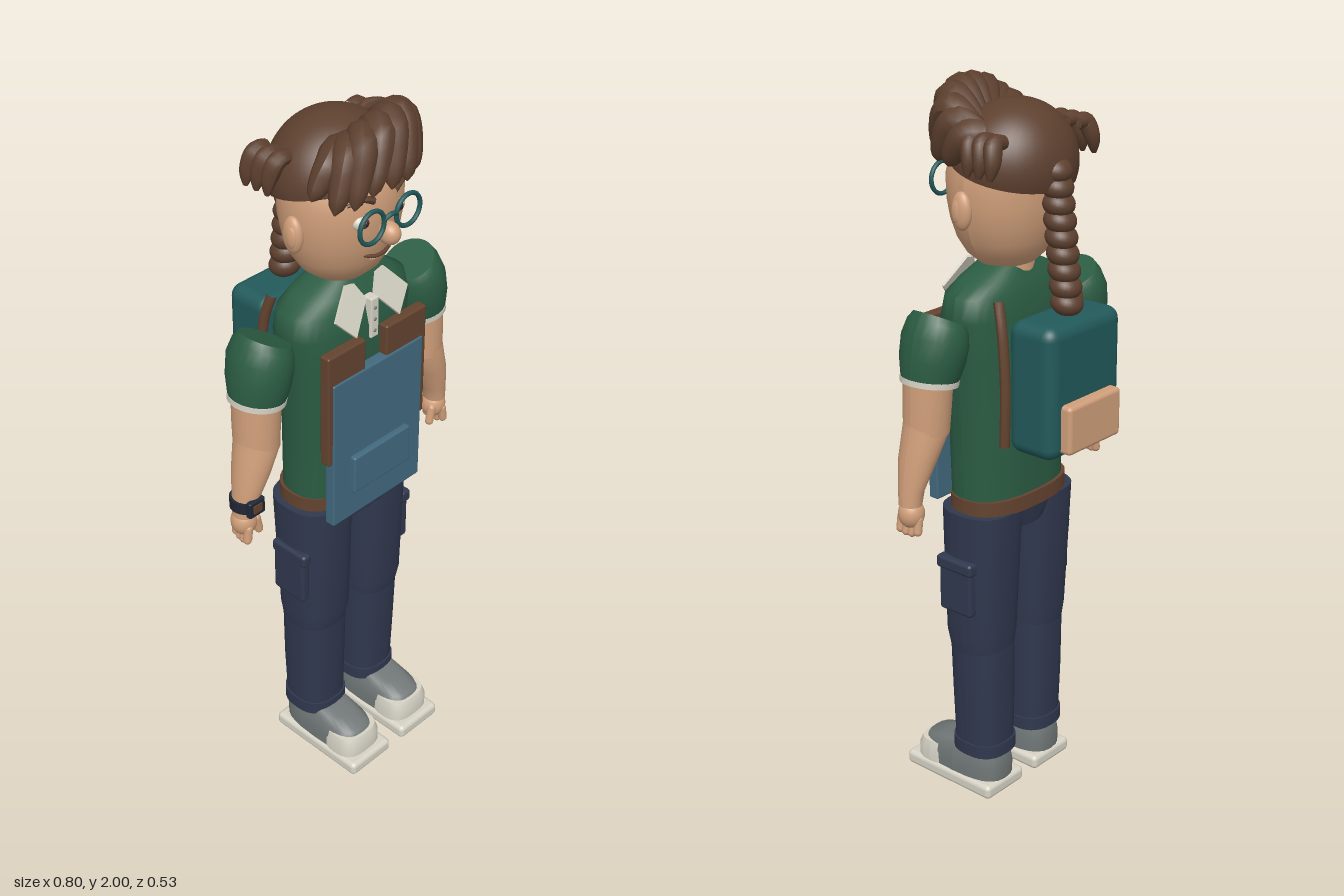
import * as THREE from 'three';
import { RoundedBoxGeometry } from 'three/addons/geometries/RoundedBoxGeometry.js';

const colours = {
  skin: 0xd09f7a, hair: 0x5d402f, shirt: 0x2b5c43, teal: 0x22595a, denimBlue: 0x42697e,
  trousers: 0x30384e, cream: 0xd6d2c5, shoeGrey: 0x707776, leather: 0x64432f, dark: 0x1f2634,
};

export function createModel() {
  const model = new THREE.Group();
  model.name = 'studentFigure';
  const mats = {};
  for (const [name, hex] of Object.entries(colours)) {
    mats[name] = new THREE.MeshStandardMaterial({ color: hex });
    mats[name].name = name;
  }
  mats.cream.side = THREE.DoubleSide;

  const add = (name, geo, mat, pos = [0, 0, 0], rot = [0, 0, 0], scale = [1, 1, 1]) => {
    const m = new THREE.Mesh(geo, mats[mat]);
    m.name = name;
    m.position.set(...pos);
    m.rotation.set(...rot);
    m.scale.set(...scale);
    model.add(m);
    return m;
  };
  const ball = (name, mat, pos, scale, rot) =>
    add(name, new THREE.SphereGeometry(1, 24, 16), mat, pos, rot, scale);
  // Rounded box given by its low and high corners
  const box = (name, mat, lo, hi, r = 0.008) => {
    const d = lo.map((v, i) => hi[i] - v);
    return add(name, new RoundedBoxGeometry(d[0], d[1], d[2], 3, r), mat, lo.map((v, i) => (v + hi[i]) / 2));
  };

  // Closed loft through superellipse rings, bottom to top: [x, y, z, rx, rz, tilt]
  function loft(rings, power = 2, n = 28) {
    const pos = [], idx = [];
    const ring = ([x, y, z, rx, rz, tilt = 0]) => {
      for (let j = 0; j <= n; j++) {
        const a = (j / n) * Math.PI * 2, c = Math.cos(a), s = Math.sin(a);
        const u = Math.sign(c) * Math.abs(c) ** (2 / power) * rx;
        const v = Math.sign(s) * Math.abs(s) ** (2 / power) * rz;
        pos.push(x + u * Math.cos(tilt), y + u * Math.sin(tilt), z + v);
      }
    };
    rings.forEach(ring);
    for (let i = 0; i < rings.length - 1; i++) for (let j = 0; j < n; j++) {
      const a = i * (n + 1) + j, c = a + n + 1;
      idx.push(a, c, a + 1, a + 1, c, c + 1);
    }
    for (const top of [false, true]) {
      const r = top ? rings[rings.length - 1] : rings[0], start = pos.length / 3;
      ring(r);
      pos.push(r[0], r[1], r[2]);
      for (let j = 0; j < n; j++) {
        const a = start + j;
        idx.push(start + n + 1, top ? a + 1 : a, top ? a : a + 1);
      }
    }
    const g = new THREE.BufferGeometry();
    g.setAttribute('position', new THREE.Float32BufferAttribute(pos, 3));
    g.setIndex(idx);
    g.computeVertexNormals();
    return g;
  }

  // Tube along points whose thickness follows taper(t)
  function strand(points, radius, taper = () => 1, seg = 16, sides = 10) {
    const curve = new THREE.CatmullRomCurve3(points.map(p => new THREE.Vector3(...p)));
    const g = new THREE.TubeGeometry(curve, seg, radius, sides), p = g.attributes.position;
    const v = new THREE.Vector3();
    for (let i = 0; i < p.count; i++) {
      const t = Math.floor(i / (sides + 1)) / seg, c = curve.getPointAt(t);
      v.fromBufferAttribute(p, i).sub(c).multiplyScalar(taper(t)).add(c);
      p.setXYZ(i, v.x, v.y, v.z);
    }
    g.computeVertexNormals();
    return g;
  }

  // Torso, belt and hips
  add('shirtBody', loft([
    [0, 0.89, 0.032, 0.176, 0.102], [0, 1.1, 0.035, 0.178, 0.106], [0, 1.3, 0.036, 0.19, 0.109],
    [0, 1.41, 0.036, 0.205, 0.109], [0, 1.47, 0.034, 0.197, 0.096], [0, 1.5, 0.032, 0.15, 0.082],
    [0, 1.535, 0.03, 0.075, 0.062],
  ], 2.5, 36), 'shirt');
  add('belt', loft([[0, 0.87, 0.028, 0.183, 0.108], [0, 0.912, 0.028, 0.183, 0.108]], 2.5, 36), 'leather');
  add('hips', loft([[0, 0.81, 0.03, 0.075, 0.09], [0, 0.872, 0.03, 0.175, 0.1]], 2.6), 'trousers');
  box('fly', 'trousers', [-0.077, 0.812, -0.055], [0.077, 0.872, 0.13]);
  add('neck', new THREE.CylinderGeometry(0.065, 0.07, 0.12, 24), 'skin', [0, 1.53, 0.025]);

  for (const s of [1, -1]) {
    const side = s > 0 ? 'left' : 'right';
    // Legs, cuffs and cargo pockets
    add(side + 'LowerLeg', loft([
      [s * 0.1, 0.13, 0.032, 0.074, 0.076], [s * 0.102, 0.3, 0.032, 0.079, 0.08], [s * 0.103, 0.47, 0.034, 0.081, 0.083],
    ], 2.5), 'trousers');
    add(side + 'UpperLeg', loft([
      [s * 0.104, 0.445, 0.034, 0.079, 0.081], [s * 0.104, 0.5, 0.036, 0.087, 0.09],
      [s * 0.104, 0.7, 0.033, 0.093, 0.097], [s * 0.104, 0.872, 0.03, 0.097, 0.102],
    ], 2.5), 'trousers');
    add(side + 'Cuff', loft([[s * 0.1, 0.122, 0.032, 0.08, 0.082], [s * 0.1, 0.16, 0.032, 0.08, 0.082]], 2.5), 'trousers');
    const px = [s * 0.18, s * 0.21].sort((a, b) => a - b);
    box(side + 'CargoPocket', 'trousers', [px[0], 0.58, -0.016], [px[1], 0.72, 0.096], 0.01);
    box(side + 'PocketFlap', 'trousers', [px[0], 0.705, -0.022], [px[1] + 0.003 * (s + 1), 0.742, 0.102], 0.01);

    // Shoes
    const cx = s * 0.102;
    box(side + 'Sole', 'cream', [cx - 0.078, 0, -0.05], [cx + 0.078, 0.042, 0.265], 0.014);
    add(side + 'Shoe', loft([
      [cx, 0.035, 0.095, 0.07, 0.14], [cx, 0.08, 0.095, 0.071, 0.142], [cx, 0.11, 0.088, 0.064, 0.132],
      [cx, 0.128, 0.06, 0.057, 0.1], [cx, 0.14, 0.035, 0.053, 0.07],
    ], 3), 'shoeGrey');
    add(side + 'ToeCap', loft([
      [cx, 0.038, 0.18, 0.073, 0.064], [cx, 0.075, 0.18, 0.073, 0.064], [cx, 0.1, 0.178, 0.066, 0.056],
    ], 3), 'cream');

    // Puffed sleeve with cream trim
    add(side + 'Sleeve', loft([
      [s * 0.297, 1.287, 0.032, 0.073, 0.075, s * 0.16], [s * 0.289, 1.335, 0.03, 0.081, 0.087, s * 0.22],
      [s * 0.279, 1.385, 0.028, 0.082, 0.091, s * 0.33], [s * 0.268, 1.42, 0.028, 0.076, 0.082, s * 0.42],
      [s * 0.261, 1.437, 0.028, 0.07, 0.068, s * 0.47],
    ]), 'shirt');
    add(side + 'SleeveTrim', loft([
      [s * 0.299, 1.275, 0.032, 0.074, 0.076, s * 0.16], [s * 0.297, 1.29, 0.032, 0.075, 0.077, s * 0.16],
    ]), 'cream');

    // Arm and hand
    add(side + 'Forearm', loft([
      [s * 0.366, 0.96, 0.044, 0.029, 0.032], [s * 0.361, 1.0, 0.044, 0.032, 0.036], [s * 0.335, 1.08, 0.042, 0.049, 0.053],
      [s * 0.311, 1.145, 0.038, 0.061, 0.06], [s * 0.307, 1.18, 0.037, 0.06, 0.058],
    ]), 'skin');
    add(side + 'UpperArm', loft([
      [s * 0.308, 1.145, 0.037, 0.06, 0.06], [s * 0.305, 1.22, 0.035, 0.062, 0.063], [s * 0.3, 1.31, 0.033, 0.064, 0.065],
    ]), 'skin');
    ball(side + 'Palm', 'skin', [s * 0.365, 0.935, 0.042], [0.035, 0.04, 0.035]);
    for (let k = 0; k < 4; k++)
      add(side + 'Finger', new THREE.CapsuleGeometry(0.012, 0.035, 4, 10), 'skin',
        [s * (0.376 - 0.003 * k), 0.908 - 0.006 * Math.sin(k), 0.068 - 0.017 * k], [0, 0, s * 0.15]);
    add(side + 'Thumb', new THREE.CapsuleGeometry(0.012, 0.04, 4, 10), 'skin', [s * 0.335, 0.918, 0.06], [0, 0, s * -0.2]);

    // Collar flap
    const flap = new THREE.Shape([[0.04, 1.54], [0.068, 1.545], [0.13, 1.47], [0.078, 1.41], [0.014, 1.49]]
      .map(([x, y]) => new THREE.Vector2(s * x, y - 1.41)));
    add(side + 'Collar', new THREE.ExtrudeGeometry(flap, { depth: 0.008, bevelEnabled: false }), 'cream', [0, 1.41, 0.157], [-0.38, 0, 0]);

    // Ear, eye, brow and glasses rim
    ball(side + 'Ear', 'skin', [s * 0.167, 1.69, 0.035], [0.02, 0.05, 0.03]);
    ball(side + 'EarInner', 'skin', [s * 0.177, 1.69, 0.04], [0.012, 0.033, 0.018]);
    ball(side + 'EyeWhite', 'cream', [s * 0.063, 1.73, 0.158], [0.024, 0.02, 0.016]);
    ball(side + 'Iris', 'leather', [s * 0.06, 1.73, 0.17], [0.012, 0.013, 0.007]);
    ball(side + 'Pupil', 'dark', [s * 0.06, 1.73, 0.175], [0.006, 0.007, 0.004]);
    add(side + 'Brow', strand([[s * 0.035, 1.783, 0.172], [s * 0.065, 1.794, 0.167], [s * 0.1, 1.782, 0.148]], 0.01,
      t => 1 - 0.6 * t), 'hair');
    add(side + 'GlassesRim', new THREE.TorusGeometry(0.042, 0.006, 8, 32), 'teal', [s * 0.063, 1.73, 0.195]);

    // Backpack strap at the back and three strands over the ear
    add(side + 'BackStrap', strand([
      [s * 0.158, 1.09, -0.095], [s * 0.158, 1.25, -0.098], [s * 0.155, 1.4, -0.085], [s * 0.145, 1.47, -0.065],
    ], 0.014), 'leather');
    for (let k = 0; k < 3; k++) {
      const z = 0.005 - 0.037 * k;
      add(side + 'SideLock', strand([[s * 0.14, 1.875, z - 0.01], [s * 0.175, 1.875, z - 0.01], [s * 0.192, 1.835, z - 0.02], [s * 0.202, 1.79, z - 0.02]],
        0.024, t => 0.75 + 0.25 * Math.sin(t * Math.PI) - 0.5 * t ** 4), 'hair');
    }
  }

  // Head, nose, mouth and glasses bridge
  add('head', loft([
    [0, 1.515, 0.03, 0.03, 0.03], [0, 1.53, 0.03, 0.075, 0.068], [0, 1.56, 0.03, 0.112, 0.1], [0, 1.6, 0.03, 0.138, 0.122],
    [0, 1.65, 0.03, 0.155, 0.138], [0, 1.7, 0.03, 0.164, 0.146], [0, 1.76, 0.03, 0.166, 0.148], [0, 1.81, 0.026, 0.156, 0.14],
    [0, 1.86, 0.02, 0.13, 0.115], [0, 1.9, 0.015, 0.08, 0.07], [0, 1.915, 0.01, 0.02, 0.02],
  ], 2, 36), 'skin');
  ball('nose', 'skin', [0, 1.69, 0.193], [0.026, 0.03, 0.031]);
  add('mouth', strand([[-0.05, 1.632, 0.147], [-0.02, 1.622, 0.163], [0.02, 1.622, 0.163], [0.05, 1.632, 0.147]], 0.005), 'leather');
  ball('lowerLip', 'skin', [0, 1.612, 0.154], [0.026, 0.008, 0.008]);
  add('glassesBridge', strand([[-0.023, 1.735, 0.195], [0, 1.745, 0.2], [0.023, 1.735, 0.195]], 0.006), 'teal');

  // Hair cap, tilted down to the back
  add('hairCap', new THREE.SphereGeometry(1, 36, 18, 0, Math.PI * 2, 0, Math.PI * 0.53), 'hair',
    [0, 1.79, 0.006], [-0.24, 0, 0], [0.173, 0.162, 0.157]);
  // Swept fringe: root x, root z, peak xyz, tip xyz
  [
    [-0.02, 0.05, -0.12, 1.9, 0.12, -0.19, 1.82, 0.12],
    [0, 0.06, -0.1, 1.92, 0.15, -0.175, 1.8, 0.18],
    [0.02, 0.06, -0.065, 1.945, 0.165, -0.14, 1.81, 0.21],
    [0.04, 0.06, -0.015, 1.958, 0.165, -0.09, 1.83, 0.22],
    [0.07, 0.05, 0.035, 1.96, 0.155, -0.03, 1.83, 0.225],
    [0.1, 0.03, 0.085, 1.95, 0.135, 0.04, 1.82, 0.21],
    [0.12, 0.02, 0.125, 1.93, 0.105, 0.1, 1.81, 0.175],
    [0.13, 0, 0.15, 1.905, 0.065, 0.155, 1.8, 0.125],
    [0.14, -0.03, 0.163, 1.885, 0.01, 0.178, 1.8, 0.07],
  ].forEach(([rx, rz, px, py, pz, tx, ty, tz]) => {
    const mid = [px * 0.4 + tx * 0.6, py * 0.45 + ty * 0.55, pz * 0.3 + tz * 0.7];
    add('fringeLock', strand([[rx, 1.89, rz], [px, py, pz], mid, [tx, ty, tz]], 0.043,
      t => 0.04 + 0.96 * Math.min(1, 0.6 + t) * Math.sqrt(1 - t ** 2.5)), 'hair');
  });

  // Braid
  for (let k = 0; k < 9; k++) {
    const t = k / 8;
    ball('braidKnot', 'hair', [0, 1.79 - 0.335 * t, -0.128 - 0.04 * t], [0.043, 0.033, 0.043], [-0.25, 0, 0]);
  }

  // Placket with buttons
  box('placket', 'cream', [-0.014, 1.375, 0.12], [0.014, 1.49, 0.152], 0.004);
  for (let k = 0; k < 3; k++) ball('button', 'shoeGrey', [0, 1.395 + 0.033 * k, 0.152], [0.005, 0.005, 0.003]);

  // Apron with shoulder straps and pocket
  box('apron', 'denimBlue', [-0.17, 0.87, 0.142], [0.16, 1.315, 0.174], 0.006);
  box('apronPocket', 'denimBlue', [-0.108, 0.955, 0.165], [0.102, 1.068, 0.19], 0.006);
  box('rightApronStrap', 'leather', [-0.184, 1.07, 0.138], [-0.05, 1.4, 0.17], 0.006);
  box('leftApronStrap', 'leather', [0.025, 1.07, 0.138], [0.174, 1.4, 0.17], 0.006);

  // Backpack with front pocket
  box('backpack', 'teal', [-0.145, 1.07, -0.238], [0.145, 1.428, -0.088], 0.035);
  box('backpackPocket', 'skin', [-0.105, 1.09, -0.268], [0.105, 1.222, -0.22], 0.012);

  // Wristwatch
  add('watchStrap', loft([[-0.363, 0.982, 0.044, 0.037, 0.041], [-0.36, 1.012, 0.044, 0.039, 0.043]]), 'dark');
  box('watchCase', 'dark', [-0.388, 0.974, 0.075], [-0.334, 1.022, 0.092], 0.005);
  box('watchFace', 'leather', [-0.376, 0.985, 0.088], [-0.346, 1.011, 0.094], 0.002);
  return model;
}
